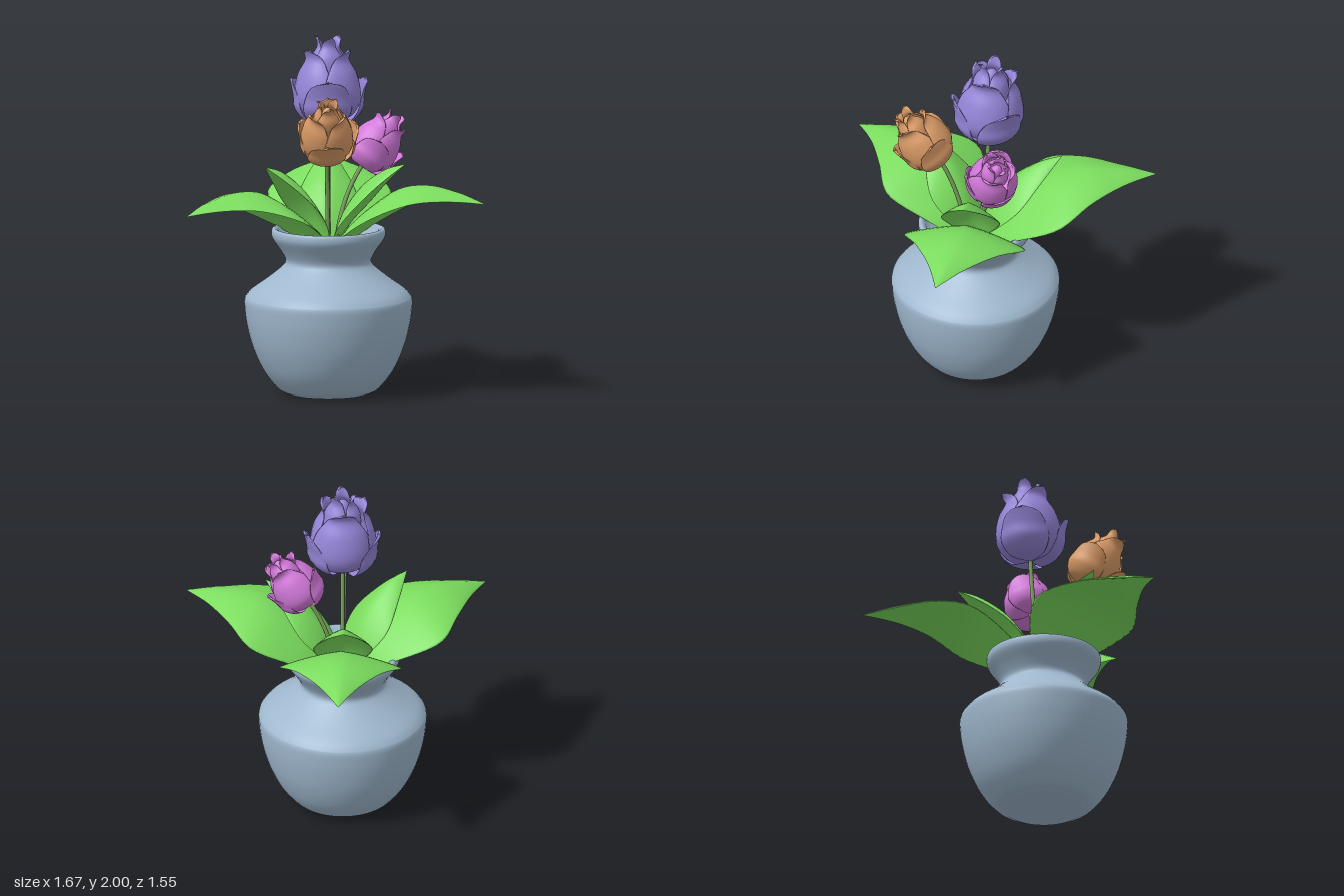
import * as THREE from 'three';

const V2 = (a) => a.map(([x, y]) => new THREE.Vector2(x, y));
const spline = (a) => new THREE.SplineCurve(V2(a));
const CX = -0.04, CZ = 0.24; // vase axis

const mat = (color) => new THREE.MeshStandardMaterial({ color, side: THREE.DoubleSide });
const GREEN = mat(0x7bdc5e), STEM = mat(0x7fa860), VASE = mat(0x9fb8ce);

function mesh(name, geometry, material) {
  const m = new THREE.Mesh(geometry, material);
  m.name = name;
  return m;
}

// Thin closed blade: lens-shaped loops (u across, t through) lofted along v
function blade(fn, thick, around = 24, along = 24) {
  const pos = [], idx = [];
  for (let j = 0; j <= along; j++)
    for (let i = 0; i < around; i++) {
      const a = (i / around) * Math.PI * 2;
      pos.push(...fn(Math.cos(a), Math.sin(a) * thick, j / along));
    }
  for (let j = 0; j < along; j++)
    for (let i = 0; i < around; i++) {
      const a = j * around + i, b = j * around + ((i + 1) % around);
      idx.push(a, b, a + around, b, b + around, a + around);
    }
  const g = new THREE.BufferGeometry();
  g.setAttribute('position', new THREE.Float32BufferAttribute(pos, 3));
  g.setIndex(idx);
  g.computeVertexNormals();
  return g;
}

// Leaf growing along +z, its sides drooping from the midrib, turned to point at its tip
function leaf(name, tipX, tipZ, path, widths, droop, bend) {
  const mid = spline(path), wide = spline(widths);
  const dx = tipX - CX, dz = tipZ - CZ;
  const stretch = Math.hypot(dx, dz) / path[path.length - 1][0];
  const g = blade((u, t, v) => {
    const p = mid.getPoint(v), w = Math.max(0, wide.getPoint(v).y);
    const y = p.y - droop * w * Math.pow(Math.abs(u), 1.3) + t * Math.min(1, w / 0.08);
    return [u * w + bend * Math.sin(Math.PI * v), y, p.x * stretch];
  }, 0.012);
  const m = mesh(name, g, GREEN);
  m.position.set(CX, 0, CZ);
  m.rotation.y = Math.atan2(dx, dz);
  return m;
}

// Petal: a patch of a turned profile, rounded off at the top
function petal(profile, half, point) {
  const curve = spline(profile);
  return blade((u, t, v) => {
    const p = curve.getPoint(v);
    const th = -u * half * Math.pow(Math.max(0, 1 - Math.pow(v, 4)), point);
    const r = Math.max(0.002, p.x + 0.008 * u + t);
    return [Math.sin(th) * r, p.y - 0.01 * u * u * v, Math.cos(th) * r];
  }, 0.009);
}

const OUTER = petal([[0.01, 0], [0.12, 0.01], [0.182, 0.08], [0.192, 0.16], [0.212, 0.25]], 0.85, 0.5);
const BODY = petal([[0.01, 0.01], [0.11, 0.03], [0.168, 0.1], [0.178, 0.18], [0.155, 0.28], [0.115, 0.36], [0.135, 0.415]], 1.25, 0.65);
const BUD = petal([[0.02, 0.18], [0.09, 0.26], [0.09, 0.36], [0.055, 0.43], [0.07, 0.485]], 1.15, 0.7);

function flower(name, color, base, dir, scale) {
  const g = new THREE.Group(), m = mat(color);
  g.name = name;
  const ring = (label, geo, angles) => {
    for (const a of angles) {
      const p = mesh(label, geo, m);
      p.rotation.y = a;
      g.add(p);
    }
  };
  ring('outerPetal', OUTER, [0, 1.85, -1.85]);
  ring('bodyPetal', BODY, [Math.PI / 3, Math.PI, -Math.PI / 3]);
  ring('budPetal', BUD, [0.2, 2.3, 4.4]);
  // small closed heart inside the bud
  const heart = mesh('flowerHeart', new THREE.SphereGeometry(0.05, 16, 12), m);
  heart.scale.y = 2;
  heart.position.y = 0.34;
  g.add(heart);
  g.position.set(...base);
  g.quaternion.setFromUnitVectors(new THREE.Vector3(0, 1, 0), new THREE.Vector3(...dir).normalize());
  g.scale.setScalar(scale);
  return g;
}

// Stem bending from the vase into the flower's direction
function stem(root, base, dir) {
  const b = new THREE.Vector3(...base), d = new THREE.Vector3(...dir).normalize();
  const curve = new THREE.QuadraticBezierCurve3(
    new THREE.Vector3(...root), b.clone().addScaledVector(d, -0.22), b.clone().addScaledVector(d, 0.03));
  return mesh('stem', new THREE.TubeGeometry(curve, 16, 0.012, 8), STEM);
}

export function createModel() {
  const root = new THREE.Group();
  root.name = 'pottedTulips';

  // Vase: rounded belly, sloping shoulder, flared lip, closed inside
  const belly = spline([[0.235, 0.012], [0.285, 0.04], [0.36, 0.135], [0.42, 0.265], [0.455, 0.4], [0.468, 0.51], [0.464, 0.545]]).getPoints(30);
  const upper = spline([[0.464, 0.545], [0.43, 0.585], [0.34, 0.65], [0.26, 0.715], [0.238, 0.755], [0.265, 0.81], [0.307, 0.87], [0.318, 0.9], [0.315, 0.928], [0.3, 0.935]]).getPoints(36);
  const profile = [...V2([[0, 0], [0.2, 0], [0.22, 0.003]]), ...belly, ...upper.slice(1), ...V2([[0.28, 0.925], [0.22, 0.8], [0, 0.8]])];
  const vase = mesh('vase', new THREE.LatheGeometry(profile, 64), VASE);
  vase.position.set(CX, 0, CZ);
  root.add(vase);

  // Three large arching leaves: tip x, tip z, tip y, sideways bend
  const bigWidths = [[0, 0.1], [0.2, 0.235], [0.4, 0.345], [0.6, 0.235], [0.8, 0.105], [1, 0]];
  for (const [x, z, y, bend] of [[-0.01, -0.78, 1.15, 0], [-0.84, 0.77, 1.08, -0.045], [0.83, 0.61, 1.12, 0.035]]) {
    const low = y - 1.15;
    const path = [[0.07, 0.86], [0.2, 1.0], [0.42, 1.16 + low * 0.3], [0.62, 1.21 + low * 0.6], [0.82, 1.19 + low * 0.8], [1.02, y]];
    root.add(leaf('largeLeaf', x, z, path, bigWidths, 0.28, bend));
  }

  // Three small upright leaves
  const smallWidths = [[0, 0.04], [0.25, 0.13], [0.5, 0.165], [0.75, 0.1], [1, 0]];
  const smallPath = [[0.03, 0.86], [0.1, 1.03], [0.21, 1.17], [0.34, 1.26], [0.48, 1.315]];
  for (const [x, z] of [[-0.04, -0.25], [-0.4, 0.48], [0.39, 0.38]])
    root.add(leaf('smallLeaf', x, z, smallPath, smallWidths, 0.6, 0));

  // Flowers: name, colour, base, direction, scale, stem root
  const flowers = [
    ['tallFlower', 0x9484d6, [-0.04, 1.515, 0.165], [0, 1, -0.04], 1, [-0.04, 0.8, 0.22]],
    ['frontFlower', 0xd99a66, [-0.05, 1.375, 0.45], [0, 0.85, 0.53], 0.79, [-0.04, 0.8, 0.28]],
    ['sideFlower', 0xd279da, [0.145, 1.275, 0.19], [0.57, 0.82, -0.04], 0.74, [0, 0.8, 0.23]],
  ];
  for (const [name, color, base, dir, scale, foot] of flowers)
    root.add(flower(name, color, base, dir, scale), stem(foot, base, dir));

  return root;
}
